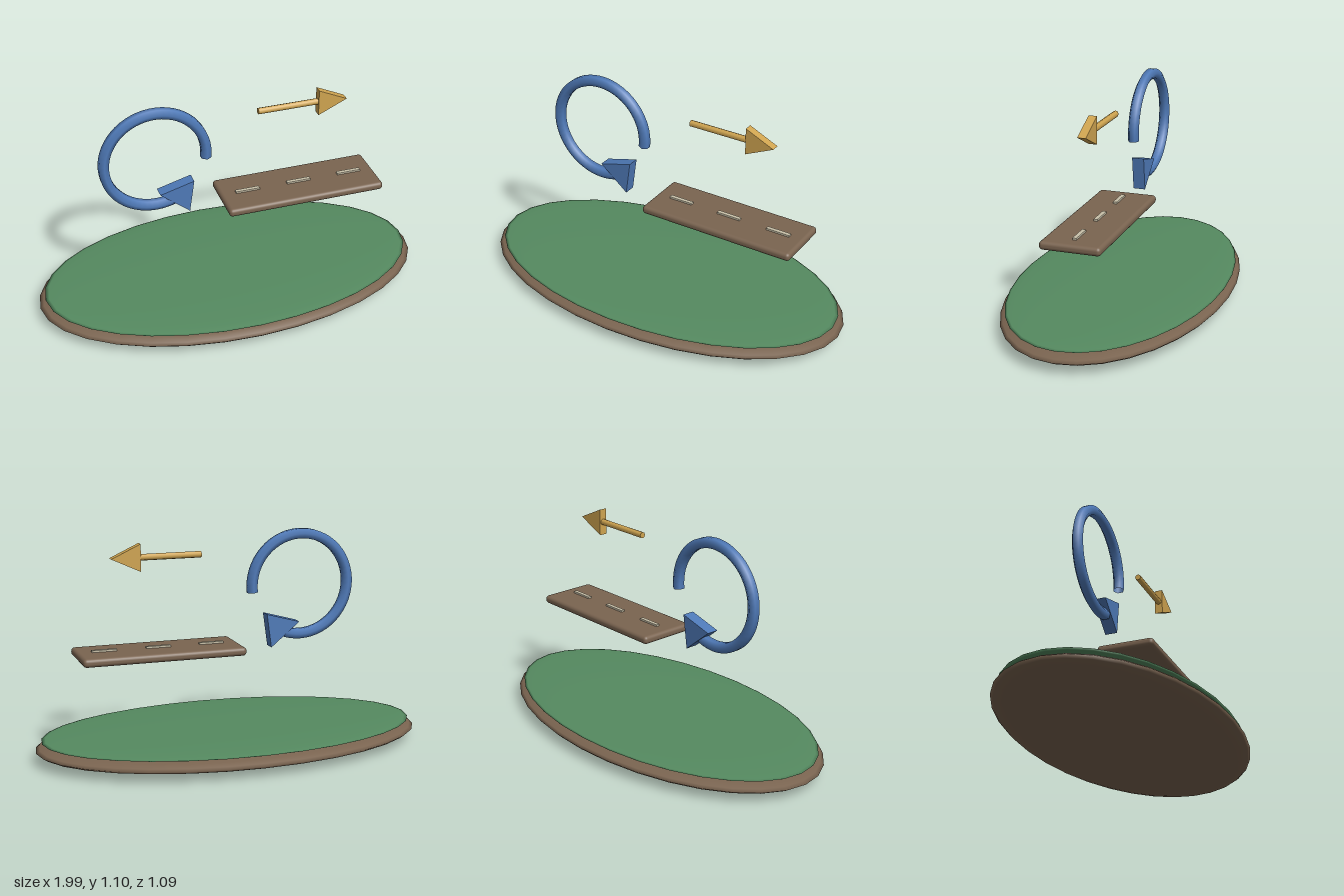
import * as THREE from 'three';
import { RoundedBoxGeometry } from 'three/addons/geometries/RoundedBoxGeometry.js';

const material = (color) => new THREE.MeshStandardMaterial({ color });
const soil = material(0x7a6450);
const grass = material(0x558a60);
const blue = material(0x4f7ab8);
const gold = material(0xcfa450);
const paint = material(0xc8c0a8);

export function createModel() {
  const model = new THREE.Group();

  function add(name, geometry, mat, x = 0, y = 0, z = 0) {
    const mesh = new THREE.Mesh(geometry, mat);
    mesh.name = name;
    mesh.position.set(x, y, z);
    model.add(mesh);
    return mesh;
  }

  // Flat triangular arrowhead, centred on z = 0
  function arrowHead(name, corners, depth, mat) {
    const shape = new THREE.Shape(corners.map(([x, y]) => new THREE.Vector2(x, y)));
    const geometry = new THREE.ExtrudeGeometry(shape, { depth, bevelEnabled: false });
    add(name, geometry, mat, 0, 0, -depth / 2);
  }

  // Island: two flattened spheres, soil below and grass on top
  const disc = new THREE.SphereGeometry(1, 32, 16);
  add('islandSoil', disc, soil, 0, 0.06, 0).scale.set(0.995, 0.06, 0.545);
  add('islandGrass', disc, grass, 0, 0.105, 0).scale.set(0.965, 0.018, 0.522);

  // Floating road slab with its dashed centre line
  add('roadSlab', new RoundedBoxGeometry(0.82, 0.042, 0.3, 3, 0.018), soil, 0.37, 0.524, 0);
  for (let i = -1; i <= 1; i++) {
    add('roadDash', new THREE.BoxGeometry(0.125, 0.015, 0.02), paint, 0.373 + i * 0.273, 0.547, 0);
  }

  // Turning arrow: an open six-sided ring ending in an arrowhead
  const ringPoints = [];
  for (let i = 0; i <= 48; i++) {
    const a = THREE.MathUtils.degToRad(-7 + (302 * i) / 48);
    ringPoints.push(new THREE.Vector3(-0.373 + 0.2565 * Math.cos(a), 0.821 + 0.2565 * Math.sin(a), 0));
  }
  const ringMaterial = blue.clone();
  ringMaterial.side = THREE.DoubleSide;
  add('turnRing', new THREE.TubeGeometry(new THREE.CatmullRomCurve3(ringPoints), 48, 0.0285, 6), ringMaterial);
  arrowHead('turnArrowHead', [[-0.361, 0.631], [-0.211, 0.508], [-0.187, 0.679]], 0.062, blue);

  // Straight arrow pointing along +x
  const shaft = add('straightArrowShaft', new THREE.CylinderGeometry(0.016, 0.016, 0.32, 8), gold, 0.31, 0.997, 0);
  shaft.rotation.z = Math.PI / 2;
  arrowHead('straightArrowHead', [[0.46, 0.929], [0.607, 0.997], [0.46, 1.065]], 0.041, gold);

  return model;
}
